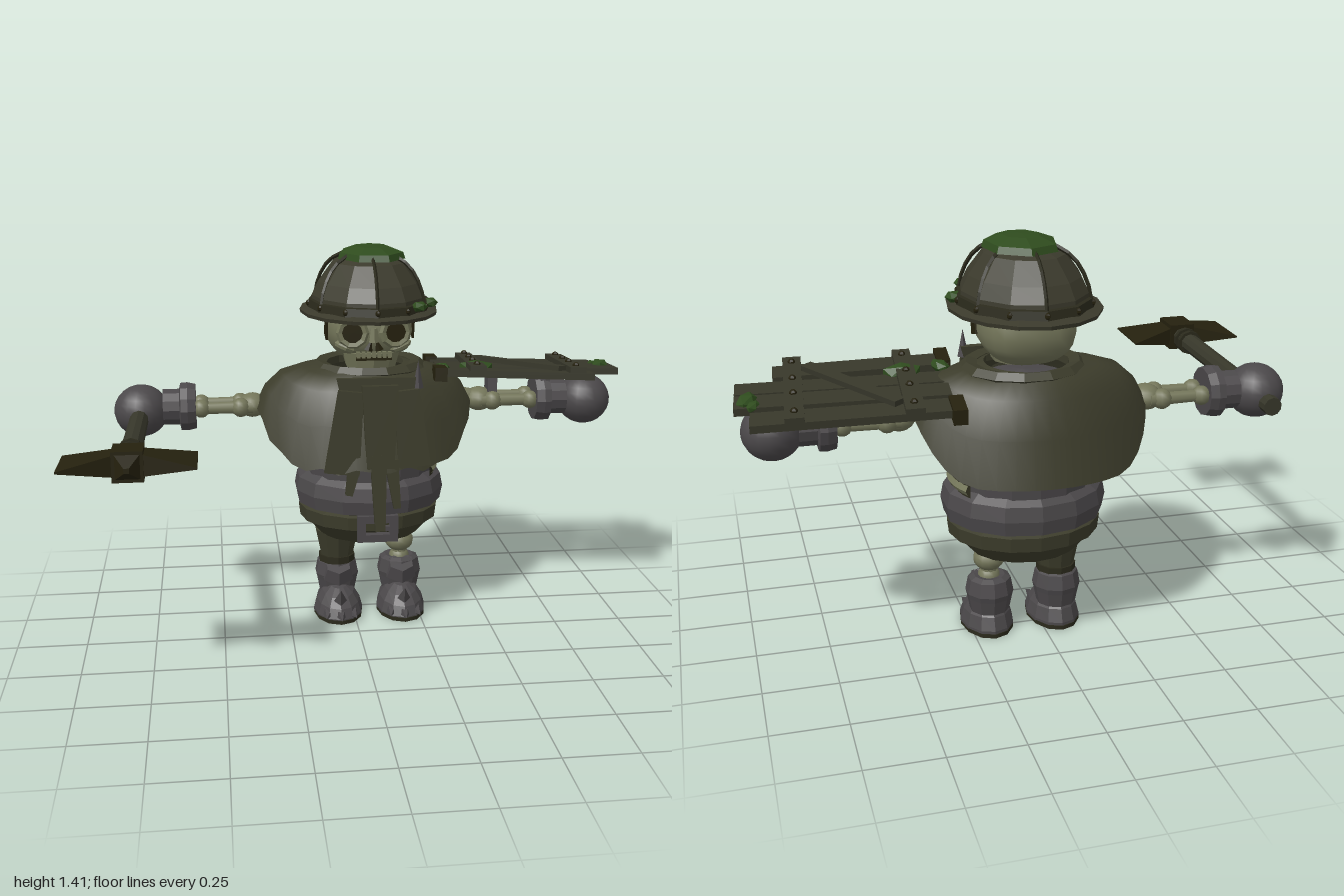
import * as THREE from 'three';

const mat = (name, color, side = THREE.FrontSide) => {
  const m = new THREE.MeshStandardMaterial({ color, side });
  m.name = name;
  return m;
};
const V = (x, y, z) => new THREE.Vector3(x, y, z);
// Splits every face so that it is shaded flat
const flat = (g) => {
  const f = g.index ? g.toNonIndexed() : g;
  f.computeVertexNormals();
  return f;
};
const box = (w, h, d) => new THREE.BoxGeometry(w, h, d);
const cyl = (a, b, h, n = 10) => new THREE.CylinderGeometry(a, b, h, n);
const ball = (r, n = 14) => new THREE.SphereGeometry(r, n, Math.ceil(n * 0.7));
const lathe = (pts, n) => new THREE.LatheGeometry(pts.map((p) => new THREE.Vector2(...p)), n);
// Box whose bottom edge is scaled, for cloth strips
const taper = (w, h, d, k) => {
  const g = box(w, h, d), p = g.attributes.position;
  for (let i = 0; i < p.count; i++) if (p.getY(i) < 0) p.setX(i, p.getX(i) * k);
  return flat(g);
};

export function createModel() {
  const olive = mat('olive cloth', 0x3c3c2b, THREE.DoubleSide);
  const metal = mat('helmet metal', 0x3b3a2c);
  const bone = mat('bone', 0x74765a);
  const grey = mat('grey leather', 0x4b484a);
  const leaf = mat('moss green', 0x2f4c1e, THREE.DoubleSide);
  const dark = mat('dark iron', 0x25210e);
  const wood = mat('weathered wood', 0x37372a);
  const trim = mat('dark trim', 0x2b2a1c);

  const root = new THREE.Group();
  const group = (name, parent = root, x = 0, y = 0, z = 0) => {
    const g = new THREE.Group();
    g.name = name;
    g.position.set(x, y, z);
    parent.add(g);
    return g;
  };
  const add = (parent, name, geo, m, pos = [0, 0, 0], rot = [0, 0, 0], scl = [1, 1, 1]) => {
    const mesh = new THREE.Mesh(geo, m);
    mesh.name = name;
    mesh.position.set(...pos);
    mesh.rotation.set(...rot);
    mesh.scale.set(...scl);
    parent.add(mesh);
    return mesh;
  };
  const CX = 0.065, CZ = -0.26;

  // Torso, trousers and belt
  const body = group('body', root, CX, 0, CZ);
  add(body, 'trousers', flat(lathe([[0, 0.28], [0.09, 0.285], [0.19, 0.32], [0.245, 0.38], [0.25, 0.44], [0.2, 0.47]], 16)), olive, [0, 0, 0], [0, 0, 0], [1, 1, 0.9]);
  add(body, 'waistband', flat(lathe([[0.24, 0.375], [0.262, 0.385], [0.268, 0.435], [0.24, 0.445]], 16)), olive, [0, 0, 0], [0, 0, 0], [1, 1, 0.89]);
  add(body, 'belt', flat(lathe([[0.23, 0.435], [0.275, 0.45], [0.285, 0.5], [0.275, 0.55], [0.24, 0.575]], 14)), grey, [0, 0, 0], [0, 0, 0], [1, 1, 0.9]);
  add(body, 'jerkin', flat(lathe([[0.24, 0.55], [0.245, 0.62], [0.24, 0.75], [0.22, 0.85], [0.14, 0.93], [0, 0.95]], 16)), grey, [0, 0, 0], [0, 0, 0], [1, 1, 0.93]);
  add(body, 'ribGap', new THREE.CylinderGeometry(0.247, 0.252, 0.22, 8, 1, true, Math.PI / 2 - 0.55, 1.1), trim, [0, 0.66, 0]);
  for (let i = 0; i < 3; i++)
    add(body, 'rib', flat(new THREE.TorusGeometry(0.235, 0.026, 6, 8, 1.0)), bone, [0, 0.58 + i * 0.07, 0], [Math.PI / 2, 0, -0.5 + (i - 1) * 0.0]).rotation.set(Math.PI / 2, 0, -0.5);
  // Square buckle
  const frame = new THREE.Shape([[-0.075, -0.05], [0.075, -0.05], [0.075, 0.05], [-0.075, 0.05]].map((p) => new THREE.Vector2(...p)));
  frame.holes.push(new THREE.Path([[-0.045, -0.022], [-0.045, 0.022], [0.045, 0.022], [0.045, -0.022]].map((p) => new THREE.Vector2(...p))));
  add(body, 'buckle', new THREE.ExtrudeGeometry(frame, { depth: 0.03, bevelEnabled: false }), grey, [0.005, 0.4, 0.225]);
  add(body, 'bucklePin', box(0.05, 0.018, 0.02), grey, [0.03, 0.4, 0.245]);

  // Legs and boots
  for (const s of [-1, 1]) {
    const leg = group(s < 0 ? 'rightLeg' : 'leftLeg', root, 0.063 + s * 0.122, 0, -0.25);
    if (s < 0) {
      add(leg, 'trouserLeg', flat(cyl(0.085, 0.06, 0.12)), olive, [0, 0.27, 0]);
      add(leg, 'trouserCuff', flat(cyl(0.07, 0.07, 0.03)), trim, [0, 0.212, 0]);
    } else {
      add(leg, 'shin', cyl(0.03, 0.03, 0.18), bone, [0, 0.22, 0]);
      add(leg, 'knee', ball(0.055), bone, [0, 0.27, 0], [0, 0, 0], [1, 0.8, 1]);
      add(leg, 'ankle', ball(0.04), bone, [0, 0.2, 0]);
    }
    add(leg, 'bootShaft', flat(lathe([[0.07, 0.08], [0.08, 0.13], [0.085, 0.15], [0.075, 0.2], [0.055, 0.21], [0, 0.2]], 10)), grey, [0, 0, -0.005]);
    add(leg, 'bootFlap', flat(cyl(0.05, 0.065, 0.05, 6)), grey, [0, 0.175, 0.05], [0.45, 0, 0]);
    const foot = ball(1, 12), p = foot.attributes.position;
    for (let i = 0; i < p.count; i++) {
      const k = p.getZ(i);
      p.setXYZ(i, p.getX(i) * 0.095, Math.max(p.getY(i) * (0.125 - 0.02 * k), 0.012), 0.045 + k * 0.14);
    }
    add(leg, 'bootFoot', flat(foot), grey);
    add(leg, 'sole', cyl(0.093, 0.093, 0.014, 12), trim, [0, 0.008, 0.045], [0, 0, 0], [1, 1, 1.52]);
    for (const x of [-1, 0, 1])
      add(leg, 'toeClaw', flat(new THREE.ConeGeometry(0.028, 0.075, 5)), grey, [x * 0.05, 0.03, 0.18 - Math.abs(x) * 0.025], [1.6, 0, -x * 0.2]);
    add(leg, 'instepSpike', flat(new THREE.ConeGeometry(0.025, 0.06, 4)), grey, [0, 0.105, 0.15], [0.5, 0, 0]);
  }

  // Poncho: rings from neck to hem, the hem rising over the arms
  const rings = [[0.15, 0.15, 0], [0.23, 0.2, 0.06], [0.31, 0.245, 0.2], [0.37, 0.285, 0.55], [0.405, 0.325, 1]];
  const N = 40, pos = [], idx = [];
  rings.forEach(([rx, rz, t]) => {
    for (let i = 0; i < N; i++) {
      const a = (i / N) * Math.PI * 2, s = Math.sin(a);
      const d = THREE.MathUtils.smoothstep(Math.abs(s), 0.05, 0.85);
      const hem = 0.83 - 0.19 * d + (s > 0 ? 0.012 * Math.sin(i * 2.5) : 0);
      pos.push(0.045 + rx * Math.cos(a), 0.98 + (hem - 0.98) * t, -0.257 + rz * s);
    }
  });
  for (let r = 0; r < rings.length - 1; r++)
    for (let i = 0; i < N; i++) {
      const a = r * N + i, b = r * N + ((i + 1) % N);
      idx.push(a, b, a + N, b, b + N, a + N);
    }
  const capeGeo = new THREE.BufferGeometry();
  capeGeo.setAttribute('position', new THREE.Float32BufferAttribute(pos, 3));
  capeGeo.setIndex(idx);
  // Face the surface outwards
  capeGeo.index.array.forEach((_, i, arr) => { if (i % 3 === 0) [arr[i + 1], arr[i + 2]] = [arr[i + 2], arr[i + 1]]; });
  capeGeo.computeVertexNormals();
  capeGeo.computeBoundingSphere();
  const cape = group('cape');
  add(cape, 'poncho', capeGeo, olive);
  add(cape, 'collar', flat(new THREE.TorusGeometry(0.17, 0.03, 5, 14)), olive, [CX, 0.965, CZ], [Math.PI / 2, 0, 0], [1.08, 1, 0.8]);
  // Scarf folds and hanging ends: x, top y, width, length, depth, lean, taper
  for (const [x, y, w, l, z, r, k] of [
    [0.07, 0.97, 0.3, 0.1, 0.0, 0, 0.85], [-0.05, 0.93, 0.09, 0.3, 0.035, -0.12, 1.4],
    [0.07, 0.95, 0.13, 0.3, 0.045, 0, 0.75], [0.18, 0.93, 0.09, 0.28, 0.035, 0.1, 1.3],
    [0.065, 0.7, 0.06, 0.28, 0.06, 0.02, 0.6], [0.12, 0.68, 0.05, 0.18, 0.05, 0.12, 0.5], [-0.03, 0.68, 0.05, 0.13, 0.04, -0.2, 0.5]])
    add(cape, 'scarfFold', taper(w, l, 0.025, k), olive, [x, y - l / 2, z], [-0.06, 0, r]);
  add(cape, 'collarSpike', flat(new THREE.ConeGeometry(0.02, 0.1, 4)), grey, [0.21, 0.98, 0.005]);

  // Skull
  const head = group('head', root, CX, 0, -0.28);
  const skull = ball(1, 20), sp = skull.attributes.position;
  const sq = (v) => Math.sign(v) * Math.pow(Math.abs(v), 0.72);
  for (let i = 0; i < sp.count; i++) {
    const y = sp.getY(i), jaw = y < 0 ? 1 + 0.18 * y : 1;
    sp.setXYZ(i, sq(sp.getX(i)) * 0.16 * jaw, 1.1 + sq(y) * 0.115, sq(sp.getZ(i)) * 0.185 * jaw);
  }
  skull.computeVertexNormals();
  add(head, 'cranium', skull, bone);
  for (const s of [-1, 1]) {
    add(head, 'eyeSocket', flat(cyl(0.043, 0.043, 0.012, 9)), dark, [s * 0.077, 1.115, 0.183], [Math.PI / 2, 0, s * -0.12]);
    add(head, 'eyeRim', flat(new THREE.TorusGeometry(0.047, 0.013, 5, 10)), bone, [s * 0.077, 1.115, 0.182], [0, s * 0.15, 0]);
    add(head, 'cheekbone', flat(ball(0.035, 8)), bone, [s * 0.1, 1.06, 0.155], [0, 0, s * 0.4], [1.2, 0.6, 0.9]);
    add(head, 'chinStrap', box(0.008, 0.1, 0.06), dark, [s * 0.16, 1.125, 0.05], [0.25, 0, 0]);
    add(head, 'nostril', flat(new THREE.ConeGeometry(0.018, 0.045, 3)), dark, [s * 0.014, 1.07, 0.184], [0, 0, s * 0.3], [1, 1, 0.35]);
  }
  add(head, 'noseBridge', flat(cyl(0.012, 0.02, 0.05, 5)), bone, [0, 1.105, 0.185]);
  add(head, 'jaw', flat(cyl(0.1, 0.085, 0.06, 10)), bone, [0, 1.005, 0.075], [0, 0, 0], [1.1, 1, 1.15]);
  add(head, 'mouthGap', box(0.13, 0.012, 0.01), dark, [0, 1.02, 0.186]);
  for (let i = -3; i <= 3; i++) add(head, 'tooth', box(0.014, 0.022, 0.016), bone, [i * 0.019, 1.034, 0.184]);

  // Helmet with band, rivets, straps and moss
  const helmet = group('helmet', root, CX, 0, -0.268);
  helmet.scale.x = 0.79;
  add(helmet, 'dome', flat(lathe([[0.27, 1.18], [0.265, 1.23], [0.235, 1.28], [0.17, 1.35], [0.08, 1.38], [0, 1.388]], 12)), metal);
  add(helmet, 'brim', flat(lathe([[0, 1.18], [0.2, 1.17], [0.318, 1.165], [0.322, 1.178], [0.26, 1.19]], 16)), metal);
  add(helmet, 'band', flat(lathe([[0.265, 1.182], [0.285, 1.184], [0.28, 1.214], [0.26, 1.218]], 12)), trim);
  for (let i = 0; i < 12; i++) {
    const a = (i / 12) * Math.PI * 2;
    add(helmet, 'rivet', flat(ball(0.012, 6)), dark, [Math.sin(a) * 0.28, 1.2, Math.cos(a) * 0.28]);
  }
  for (let i = 0; i < 6; i++) {
    const path = new THREE.CatmullRomCurve3([V(0, 1.21, 0.273), V(0, 1.27, 0.255), V(0, 1.34, 0.2), V(0, 1.385, 0.1)]);
    add(helmet, 'domeRib', flat(new THREE.TubeGeometry(path, 6, 0.008, 4)), trim, [0, 0, 0], [0, (i * Math.PI) / 3, 0]);
  }
  add(helmet, 'topMoss', flat(lathe([[0.16, 1.362], [0.15, 1.385], [0.08, 1.405], [0, 1.408]], 7)), leaf, [0.012, 0, 0], [0, 0.4, 0]);
  for (const [x, y, z] of [[0.2, 1.21, 0.2], [0.28, 1.2, 0.05]])
    add(helmet, 'mossPatch', flat(new THREE.IcosahedronGeometry(0.04, 0)), leaf, [x, y, z], [0, 0.5, 0], [1, 0.5, 1]);

  // Arms, mirrored about the body
  for (const s of [-1, 1]) {
    const arm = group(s < 0 ? 'rightArm' : 'leftArm', root, 0.06, 0.82, -0.27);
    const rot = [0, 0, -s * Math.PI / 2];
    add(arm, 'upperArm', cyl(0.03, 0.035, 0.22), bone, [s * 0.31, 0.025, 0], [0, 0, -s * 1.75]);
    add(arm, 'elbow', ball(0.05), bone, [s * 0.43, 0, 0], [0, 0, 0], [1.1, 0.9, 1.2]);
    add(arm, 'shoulder', ball(0.06), bone, [s * 0.3, 0.03, 0]);
    for (const z of [-0.04, 0.04]) {
      add(arm, 'forearm', cyl(0.02, 0.024, 0.24, 8), bone, [s * 0.55, 0, z], rot);
      add(arm, 'wrist', ball(0.034, 10), bone, [s * 0.62, 0, z]);
      add(arm, 'forearmHead', ball(0.036, 10), bone, [s * 0.475, 0, z]);
    }
    add(arm, 'gloveCuff', flat(lathe([[0, 0], [0.085, 0], [0.092, 0.03], [0.09, 0.055], [0.068, 0.06], [0.068, 0.12]], 12)), grey, [s * 0.64, 0, 0], rot);
    add(arm, 'fist', ball(0.103, 18), grey, [s * 0.84, -0.01, 0], [0, 0, 0], [0.97, 0.93, 1]);
  }

  // Double-bladed axe
  const axe = group('axe', root, -0.785, 0.806, 0);
  axe.rotation.x = -0.04;
  const along = [Math.PI / 2, 0, 0];
  add(axe, 'handle', flat(cyl(0.036, 0.033, 0.83)), wood, [0, 0, 0.005], along);
  for (const z of [0.34, 0.38]) add(axe, 'handleRing', flat(cyl(0.047, 0.047, 0.018)), trim, [0, 0, z], along);
  add(axe, 'axeSocket', flat(cyl(0.07, 0.07, 0.12, 4)), dark, [0, 0, 0.475], [Math.PI / 2, Math.PI / 4, 0]);
  add(axe, 'axeTip', flat(cyl(0.012, 0.055, 0.05, 4)), dark, [0, 0, 0.56], [Math.PI / 2, Math.PI / 4, 0]);
  for (const s of [-1, 1]) {
    const g = box(0.17, 0.07, 0.1), p = g.attributes.position;
    for (let i = 0; i < p.count; i++)
      if (p.getX(i) * s > 0) { p.setZ(i, p.getZ(i) * 2.2); p.setY(i, p.getY(i) * 0.08); }
    add(axe, 'axeBlade', flat(g), dark, [s * 0.131, 0, 0.472]);
  }

  // Plank shield strapped over the left arm
  const shield = group('shield', root, 0.64, 0.93, -0.28);
  shield.rotation.set(-0.1, -0.08, -0.03);
  for (const [x, z, l, w] of [[0, -0.2, 0.64, 0.1], [0.03, -0.07, 0.68, 0.1], [0.03, 0.035, 0.68, 0.09], [-0.04, 0.175, 0.58, 0.1]])
    add(shield, 'plank', flat(box(l, 0.025, w)), wood, [x, 0, z], [0, 0, x * 0.3]);
  for (const x of [-0.18, 0.185]) {
    add(shield, 'crossPlank', box(0.06, 0.022, 0.5), wood, [x, 0.022, -0.01]);
    for (const z of [-0.21, -0.07, 0.05, 0.19]) add(shield, 'nail', flat(ball(0.013, 6)), dark, [x, 0.034, z]);
    add(shield, 'gripBracket', box(0.035, 0.08, 0.1), grey, [x * 0.55, -0.045, 0.0]);
  }
  add(shield, 'bracePlank', box(0.045, 0.018, 0.45), wood, [0, 0.022, 0], [0, 0.67, 0]);
  for (const z of [-0.22, 0.19]) add(shield, 'endClasp', box(0.045, 0.05, 0.12), dark, [-0.315, 0, z]);
  for (const [x, z, r] of [[-0.17, 0.09, 0.06], [-0.3, 0.12, 0.04], [0.33, -0.06, 0.05], [0.31, -0.1, 0.03]])
    add(shield, 'shieldMoss', flat(new THREE.IcosahedronGeometry(r, 0)), leaf, [x, 0.012, z], [0, x * 9, 0], [0.7, 0.5, 1.2]);

  return root;
}
